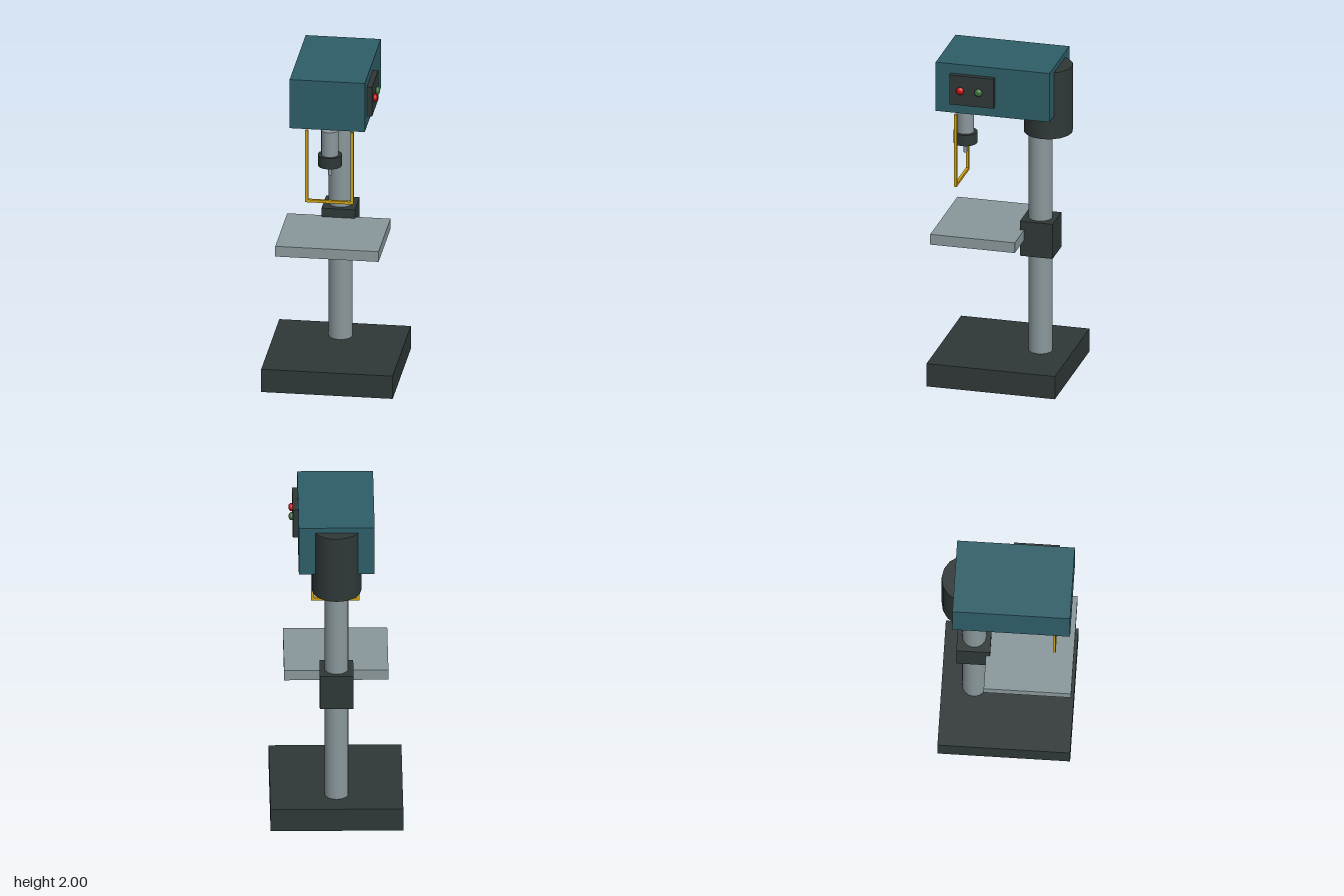
import * as THREE from 'three';

const material = (name, color) => {
  const m = new THREE.MeshStandardMaterial({ color });
  m.name = name;
  return m;
};

export function createModel() {
  const teal = material('teal paint', 0x2e5e68);
  const iron = material('dark iron', 0x2f3837);
  const steel = material('steel', 0x8a989b);
  const yellow = material('safety yellow', 0xd0a312);
  const red = material('red button', 0xc41010);
  const green = material('green button', 0x3f6f3a);

  const drillPress = new THREE.Group();
  drillPress.name = 'drillPress';

  const add = (name, geometry, mat, x, y, z, parent = drillPress) => {
    const mesh = new THREE.Mesh(geometry, mat);
    mesh.name = name;
    mesh.position.set(x, y, z);
    parent.add(mesh);
    return mesh;
  };
  // Box from its extents along each axis
  const box = (name, mat, [x0, x1], [y0, y1], [z0, z1], parent) =>
    add(name, new THREE.BoxGeometry(x1 - x0, y1 - y0, z1 - z0), mat,
      (x0 + x1) / 2, (y0 + y1) / 2, (z0 + z1) / 2, parent);
  // Upright cylinder on the centre line
  const rod = (name, mat, r, y0, y1, z, parent) =>
    add(name, new THREE.CylinderGeometry(r, r, y1 - y0, 16), mat, 0, (y0 + y1) / 2, z, parent);

  // Stand
  box('base', iron, [-0.392, 0.392], [0, 0.145], [-0.393, 0.392]);
  rod('column', steel, 0.072, 0.14, 1.6, -0.2);

  // Work table and its clamp
  box('tableClamp', iron, [-0.1, 0.1], [0.77, 0.99], [-0.3, -0.1]);
  box('table', steel, [-0.308, 0.308], [0.87, 0.935], [-0.125, 0.392]);

  // Head
  rod('columnSocket', iron, 0.146, 1.545, 1.967, -0.247);
  box('headHousing', teal, [-0.224, 0.224], [1.69, 2], [-0.315, 0.381]);

  // Switch panel on the left side
  const panel = new THREE.Group();
  panel.name = 'switchPanel';
  drillPress.add(panel);
  box('panelPlate', iron, [0.22, 0.255], [1.753, 1.94], [0.02, 0.29], panel);
  for (const [name, mat, z] of [['stopButton', red, 0.223], ['startButton', green, 0.111]]) {
    add(name, new THREE.SphereGeometry(0.024, 16, 12), mat, 0.263, 1.847, z, panel).scale.x = 0.66;
  }

  // Spindle
  const spindle = new THREE.Group();
  spindle.name = 'spindle';
  drillPress.add(spindle);
  rod('quill', steel, 0.052, 1.48, 1.643, 0.26, spindle);
  rod('chuck', iron, 0.072, 1.418, 1.487, 0.26, spindle);
  rod('drillBit', steel, 0.011, 1.355, 1.42, 0.26, spindle);

  // Guard frame
  const guard = new THREE.Group();
  guard.name = 'guard';
  drillPress.add(guard);
  for (const side of [-1, 1]) {
    const post = box('guardPost', yellow, [-0.009, 0.009], [1.185, 1.643], [0.274, 0.291], guard);
    post.position.x = side * 0.135;
  }
  box('guardBar', yellow, [-0.126, 0.126], [1.185, 1.202], [0.274, 0.291], guard);

  return drillPress;
}
